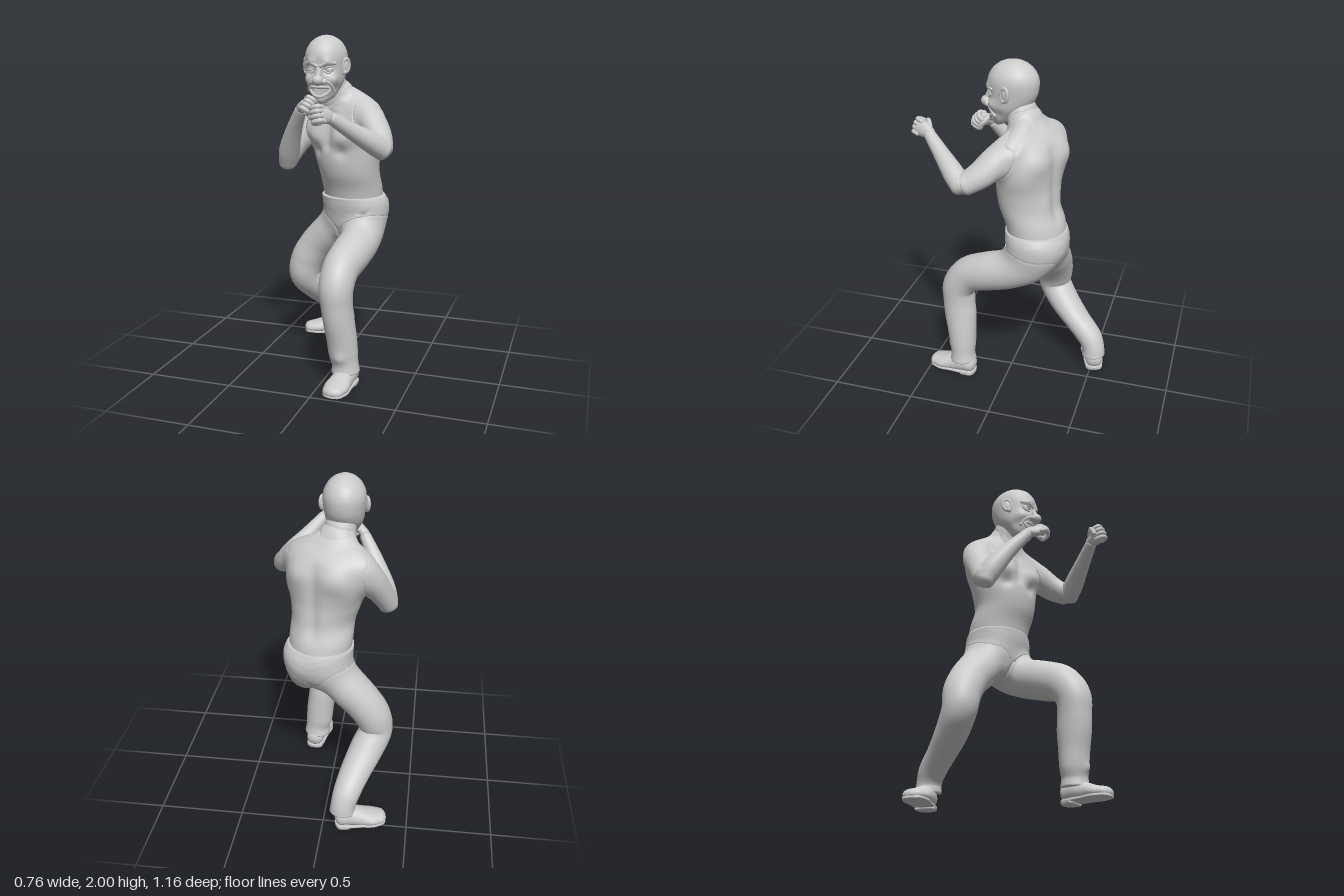
import * as THREE from 'three';

const mat = new THREE.MeshStandardMaterial({ color: 0xcccccc });
const V = (p) => new THREE.Vector3(...p);

function group(parent, name, p) {
  const h = new THREE.Group();
  h.name = name;
  h.position.set(...p);
  parent.add(h);
  return h;
}
function add(parent, name, geo, p = [0, 0, 0]) {
  const m = new THREE.Mesh(geo, mat);
  m.name = name;
  m.position.set(...p);
  parent.add(m);
  return m;
}
function ball(parent, name, p, s) {
  add(parent, name, new THREE.SphereGeometry(1, 24, 16), p).scale.set(...s);
}
function tube(parent, name, pts, r, closed = false) {
  add(parent, name, new THREE.TubeGeometry(new THREE.CatmullRomCurve3(pts.map(V), closed), 40, r, 8, closed));
  if (!closed) for (const p of [pts[0], pts[pts.length - 1]]) ball(parent, name + 'Tip', p, [r, r, r]);
}

// Smooth skin over elliptical sections [x, y, z, sideRadius, depthRadius].
// Bumps [centre, radius, amount] push the skin in or out; clamp limits its height.
function loft(parent, name, secs, o = {}) {
  const { ref = [1, 0, 0], level = false, round = [0.6, 0.6], bumps = [], seg = 40, steps = 7, clamp = [-9, 9] } = o;
  const path = new THREE.CatmullRomCurve3(secs.map((s) => V(s)));
  const size = new THREE.CatmullRomCurve3(secs.map((s) => V([s[3], s[4], 0])), false, 'catmullrom', 0.5);
  const n = (secs.length - 1) * steps, rings = [];
  for (let i = 0; i <= n; i++) {
    const r = size.getPoint(i / n);
    rings.push({ p: path.getPoint(i / n), t: level ? V([0, 1, 0]) : path.getTangent(i / n), a: r.x, b: r.y });
  }
  [rings[0], rings[n]].forEach((e, k) => {
    for (const f of round[k] ? [0.4, 0.8, 1.15, 1.45] : []) {
      const h = (k ? 1 : -1) * round[k] * Math.min(e.a, e.b) * Math.sin(f);
      const ring = { p: e.p.clone().addScaledVector(e.t, h), t: e.t, a: e.a * Math.cos(f), b: e.b * Math.cos(f) };
      if (k) rings.push(ring); else rings.unshift(ring);
    }
  });
  const pos = [], idx = [], last = rings.length - 1, c0 = rings.length * seg;
  for (const { p, t, a, b } of rings) {
    const side = V(ref).addScaledVector(t, -V(ref).dot(t)).normalize(), depth = side.clone().cross(t);
    for (let j = 0; j < seg; j++) {
      const w = (j / seg) * Math.PI * 2;
      pos.push(...p.clone().addScaledVector(side, a * Math.cos(w)).addScaledVector(depth, b * Math.sin(w)));
    }
  }
  pos.push(...rings[0].p, ...rings[last].p);
  for (let j = 0; j < seg; j++) {
    const k = (j + 1) % seg;
    for (let A = j, C = k; A < last * seg; A += seg, C += seg) idx.push(A, A + seg, C, A + seg, C + seg, C);
    idx.push(c0, j, k, c0 + 1, last * seg + k, last * seg + j);
  }
  const g = new THREE.BufferGeometry();
  g.setAttribute('position', new THREE.Float32BufferAttribute(pos, 3));
  g.setIndex(idx);
  g.computeVertexNormals();
  const mesh = add(parent, name, g);
  const skin = points(mesh);
  setPoints(mesh, skin.map(({ v, n: nrm }) => {
    const u = v.clone();
    for (const [c, r, amt] of bumps) u.addScaledVector(nrm, amt * Math.exp(-v.distanceToSquared(V(c)) / (r * r)));
    u.y = Math.min(Math.max(u.y, clamp[0]), clamp[1]);
    return u;
  }));
  return mesh;
}
function points({ geometry: { attributes: { position: P, normal: N } } }) {
  return Array.from({ length: P.count }, (_, i) => ({ v: new THREE.Vector3().fromBufferAttribute(P, i), n: new THREE.Vector3().fromBufferAttribute(N, i) }));
}
function setPoints({ geometry }, list) {
  list.forEach((u, i) => geometry.attributes.position.setXYZ(i, u.x, u.y, u.z));
  geometry.computeVertexNormals();
}

// Swell two overlapping skins where they meet, so the crease becomes a soft fillet of width k
function fillet(meshA, meshB, k) {
  const A = points(meshA), B = points(meshB);
  for (const [mesh, own, other] of [[meshA, A, B], [meshB, B, A]]) {
    setPoints(mesh, own.map(({ v, n }) => {
      let best = 1, q = null;
      for (const c of other) {
        const d = v.distanceToSquared(c.v);
        if (d < best) { best = d; q = c; }
      }
      const d = q ? v.clone().sub(q.v).dot(q.n) : k;
      if (Math.abs(d) >= k || best > 4 * k * k) return v;
      const dir = n.clone().lerp(q.n, 0.5 - (0.5 * d) / k);
      const amount = ((1 - Math.abs(d) / k) ** 2 * k) / 4;
      return v.clone().addScaledVector(dir, amount / Math.max(dir.lengthSq(), 0.45));
    }));
  }
}

// Clenched fist: dir runs along the hand, back points out of its back
function fist(parent, name, p, dir, back, thumb) {
  const h = group(parent, name, p);
  const z = V(dir).normalize(), x = V(back).cross(z).normalize();
  h.quaternion.setFromRotationMatrix(new THREE.Matrix4().makeBasis(x, z.clone().cross(x), z));
  loft(h, 'palm', [[0, 0, -0.02, 0.03, 0.027], [0, 0, 0.02, 0.043, 0.029], [0, -0.003, 0.07, 0.05, 0.03]]);
  for (let i = 0; i < 4; i++) {
    const fx = (i - 1.5) * 0.025, l = 0.1 - Math.abs(i - 1.3) * 0.006;
    tube(h, 'finger', [[fx, 0.012, 0.06], [fx, 0.01, l], [fx, -0.025, l + 0.005], [fx * 0.9, -0.045, l - 0.03], [fx * 0.9, -0.03, 0.05]], 0.0145);
  }
  tube(h, 'thumb', [[thumb * 0.03, -0.01, 0.01], [thumb * 0.052, -0.025, 0.045], [thumb * 0.03, -0.05, 0.07], [0, -0.058, 0.075]], 0.0145);
}

function shoe(parent, name, p, turn) {
  const f = group(parent, name, p);
  f.rotation.y = turn;
  const secs = [[0, 0.065, 0.03, 0.054, 0.055], [0, 0.07, 0.08, 0.06, 0.062], [0, 0.055, 0.15, 0.064, 0.056], [0, 0.042, 0.22, 0.073, 0.042], [0, 0.036, 0.275, 0.06, 0.034]];
  const flat = ([x, , z, a]) => [x, 0.015, z, a, 0.05];
  loft(f, 'upper', secs, { clamp: [0.022, 1], round: [0.6, 1] });
  loft(f, 'sole', secs.map(flat), { clamp: [0.012, 0.025], round: [0.6, 0.65] });
  loft(f, 'heel', secs.slice(0, 2).map(flat), { clamp: [0, 0.024], round: [0.6, 0] });
}

export function createModel() {
  const g = new THREE.Group();
  g.name = 'boxer';

  // Torso, turned so the model's left shoulder leads
  const ref = [0.93, 0, 0.37];
  const at = (s, y, d) => [0.02 + 0.93 * s - 0.37 * d, y, -0.12 + 0.37 * s + 0.93 * d];
  const muscles = [];
  for (const s of [1, -1]) {
    muscles.push([at(s * 0.085, 1.41, 0.15), 0.06, 0.028], [at(s * 0.15, 1.44, 0.12), 0.065, 0.024], [at(s * 0.09, 1.335, 0.16), 0.035, -0.016]);
    muscles.push([at(s * 0.12, 1.5, -0.15), 0.08, 0.022], [at(s * 0.07, 1.22, -0.17), 0.07, 0.01], [at(s * 0.19, 1.43, -0.08), 0.08, 0.01]);
  }
  for (let y = 1.12; y < 1.6; y += 0.04) muscles.push([at(0, y, -0.17), 0.035, -0.009]);
  for (let y = 1.36; y < 1.58; y += 0.03) muscles.push([at(0, y, 0.16), 0.022, -0.011]);
  const torso = loft(g, 'torso', [
    [0.058, 1.0, -0.178, 0.182, 0.165], [0.05, 1.1, -0.157, 0.188, 0.167], [0.042, 1.2, -0.118, 0.189, 0.165],
    [0.03, 1.3, -0.112, 0.209, 0.17], [0.025, 1.4, -0.12, 0.23, 0.166], [0.01, 1.5, -0.125, 0.243, 0.162],
    [0, 1.57, -0.125, 0.23, 0.142], [-0.002, 1.615, -0.115, 0.19, 0.12], [-0.015, 1.65, -0.1, 0.13, 0.1], [-0.03, 1.69, -0.075, 0.09, 0.085],
  ], { ref, level: true, bumps: muscles, seg: 72, steps: 9 });
  const neck = loft(g, 'neck', [[-0.025, 1.6, -0.09, 0.1, 0.095], [-0.04, 1.67, -0.055, 0.08, 0.085], [-0.055, 1.77, -0.025, 0.082, 0.086]], { level: true });
  const trapLeft = loft(g, 'leftTrapezius', [[-0.01, 1.67, -0.085, 0.045, 0.045], [0.09, 1.632, -0.085, 0.05, 0.05], [0.2, 1.565, -0.045, 0.055, 0.055]], { ref: [0, 1, 0] });
  const trapRight = loft(g, 'rightTrapezius', [[-0.05, 1.66, -0.1, 0.045, 0.045], [-0.12, 1.61, -0.145, 0.05, 0.05], [-0.2, 1.55, -0.18, 0.055, 0.055]], { ref: [0, 1, 0] });

  // Trousers
  const seat = loft(g, 'trouserSeat', [
    [0.045, 0.85, -0.18, 0.1, 0.11], [0.06, 0.885, -0.18, 0.155, 0.145], [0.067, 0.94, -0.18, 0.186, 0.168],
    [0.065, 1, -0.173, 0.197, 0.18], [0.052, 1.05, -0.164, 0.192, 0.176],
  ], { ref: [0.98, 0, 0.17], level: true, round: [0.5, 0], seg: 64 });
  const leftLeg = loft(g, 'leftTrouserLeg', [
    [0.12, 0.97, -0.185, 0.115, 0.135], [0.14, 0.875, -0.145, 0.116, 0.135], [0.137, 0.795, -0.03, 0.118, 0.12], [0.12, 0.745, 0.11, 0.116, 0.118],
    [0.1, 0.69, 0.235, 0.106, 0.113], [0.095, 0.6, 0.305, 0.1, 0.105], [0.1, 0.5, 0.31, 0.092, 0.1], [0.11, 0.4, 0.3, 0.09, 0.1],
    [0.123, 0.3, 0.29, 0.088, 0.09], [0.132, 0.2, 0.283, 0.086, 0.082], [0.142, 0.14, 0.28, 0.078, 0.075], [0.145, 0.09, 0.278, 0.083, 0.082],
  ], { round: [0.6, 0.05], bumps: [[[0.13, 0.19, 0.36], 0.03, 0.01], [[0.1, 0.6, 0.21], 0.05, -0.01]] });
  const rightLeg = loft(g, 'rightTrouserLeg', [
    [0.02, 0.98, -0.185, 0.115, 0.135], [-0.012, 0.9, -0.195, 0.115, 0.138], [-0.1, 0.8, -0.21, 0.117, 0.132], [-0.195, 0.7, -0.217, 0.112, 0.118],
    [-0.26, 0.6, -0.213, 0.108, 0.112], [-0.282, 0.5, -0.212, 0.1, 0.1], [-0.235, 0.4, -0.285, 0.1, 0.09], [-0.178, 0.3, -0.39, 0.09, 0.077],
    [-0.137, 0.21, -0.482, 0.08, 0.074], [-0.122, 0.15, -0.508, 0.074, 0.07], [-0.118, 0.1, -0.512, 0.077, 0.072],
  ], { round: [0.6, 0.05], bumps: [[[-0.14, 0.19, -0.42], 0.03, 0.01]] });
  shoe(g, 'leftShoe', [0.162, 0, 0.195], -0.14);
  shoe(g, 'rightShoe', [-0.075, 0, -0.53], -1.3);

  // Arms
  const left = { ref: [0.76, 0.63, 0.18] }, right = { ref: [-0.88, 0.42, 0.22] };
  const leftArm = loft(g, 'leftUpperArm', [
    [0.1, 1.56, -0.09, 0.065, 0.075], [0.168, 1.548, -0.035, 0.077, 0.086], [0.218, 1.512, 0.018, 0.078, 0.088],
    [0.277, 1.447, 0.088, 0.07, 0.08], [0.322, 1.39, 0.175, 0.057, 0.064],
  ], left);
  const leftFore = loft(g, 'leftForearm', [[0.328, 1.38, 0.19, 0.057, 0.058], [0.28, 1.43, 0.25, 0.058, 0.06], [0.2, 1.5, 0.345, 0.046, 0.047], [0.115, 1.58, 0.45, 0.033, 0.034]], left);
  fist(g, 'leftFist', [0.105, 1.59, 0.46], [-0.35, 0.2, 0.85], [0.75, 0.35, 0.5], -1);
  const rightArm = loft(g, 'rightUpperArm', [
    [-0.1, 1.55, -0.16, 0.065, 0.075], [-0.165, 1.54, -0.18, 0.076, 0.08], [-0.215, 1.485, -0.165, 0.079, 0.085],
    [-0.268, 1.385, -0.11, 0.073, 0.08], [-0.32, 1.27, -0.055, 0.057, 0.063],
  ], right);
  const rightFore = loft(g, 'rightForearm', [[-0.325, 1.24, -0.042, 0.053, 0.057], [-0.3, 1.325, -0.005, 0.061, 0.064], [-0.24, 1.455, 0.07, 0.048, 0.049], [-0.165, 1.585, 0.155, 0.033, 0.034]], right);
  fist(g, 'rightFist', [-0.152, 1.603, 0.17], [0.6, 0.3, 0.75], [-0.5, 0.65, 0.55], 1);

  // Soft joins between the body parts
  for (const [a, b, k] of [[seat, leftLeg, 0.08], [seat, rightLeg, 0.08], [leftLeg, rightLeg, 0.05], [torso, neck, 0.05], [torso, trapLeft, 0.05],
    [torso, trapRight, 0.05], [torso, leftArm, 0.06], [torso, rightArm, 0.06], [leftArm, leftFore, 0.02], [rightArm, rightFore, 0.02]]) fillet(a, b, k);

  // Head
  const head = group(g, 'head', [-0.06, 0, 0]);
  const face = [[[0, 1.69, 0.14], 0.03, -0.016], [[0, 1.645, 0.11], 0.03, 0.014], [[0, 1.85, 0.15], 0.022, -0.004]];
  for (const s of [1, -1]) {
    face.push([[s * 0.05, 1.81, 0.135], 0.026, -0.016], [[s * 0.045, 1.85, 0.135], 0.026, 0.012]);
    face.push([[s * 0.068, 1.755, 0.11], 0.032, 0.017], [[s * 0.085, 1.7, 0.07], 0.03, -0.008]);
  }
  const dome = [0, 0.35, 0.7, 1, 1.25, 1.42, 1.53].map((f) => [0, 1.87 + 0.13 * Math.sin(f), 0.006, 0.12 * Math.cos(f), 0.147 * Math.cos(f)]);
  loft(head, 'skull', [
    [0, 1.632, 0.085, 0.03, 0.025], [0, 1.65, 0.065, 0.06, 0.053], [0, 1.69, 0.05, 0.086, 0.085], [0, 1.74, 0.025, 0.105, 0.118], [0, 1.8, 0.01, 0.114, 0.14], ...dome,
  ], { level: true, round: [0.4, 0], bumps: face, seg: 64, steps: 9 });
  tube(head, 'noseBridge', [[0, 1.825, 0.136], [0, 1.79, 0.15], [0, 1.76, 0.163]], 0.018);
  ball(head, 'noseTip', [0, 1.752, 0.165], [0.032, 0.03, 0.032]);
  for (const s of [1, -1]) {
    ball(head, 'nostril', [s * 0.03, 1.745, 0.15], [0.019, 0.018, 0.019]);
    ball(head, 'eye', [s * 0.052, 1.81, 0.117], [0.023, 0.02, 0.02]);
    for (const lid of [1.827, 1.793]) tube(head, 'eyelid', [[s * 0.026, 1.808, 0.134], [s * 0.052, lid, 0.134], [s * 0.078, 1.813, 0.11]], 0.006);
    tube(head, 'brow', [[s * 0.012, 1.832, 0.147], [s * 0.045, 1.848, 0.14], [s * 0.082, 1.846, 0.108]], 0.011);
    tube(head, 'cheekFold', [[s * 0.034, 1.752, 0.143], [s * 0.062, 1.732, 0.126], [s * 0.074, 1.692, 0.095]], 0.009);
    const ear = group(head, 'ear', [s * 0.122, 1.83, 0.024]);
    ear.rotation.set(0, s * 1.05, -s * 0.12);
    const rim = add(ear, 'earRim', new THREE.TorusGeometry(0.026, 0.009, 10, 28));
    rim.scale.y = 1.4;
    ball(ear, 'earBowl', [0, -0.004, -0.003], [0.026, 0.036, 0.012]);
    ball(ear, 'earLobe', [-s * 0.008, -0.038, 0], [0.015, 0.016, 0.012]);
  }

  // Grinning mouth
  const mouth = (x, dy, r) => [x, 1.686 + dy + 5 * x * x, 0.05 + r * Math.sqrt(1 - (x / 0.09) ** 2)];
  const ring = Array.from({ length: 16 }, (_, i) => (i / 8) * Math.PI);
  tube(head, 'lips', ring.map((w) => mouth(0.058 * Math.cos(w), 0.027 * Math.sin(w), 0.087)), 0.009, true);
  for (const dy of [0.012, -0.012]) {
    for (let x = -0.0375; x < 0.04; x += 0.0125) add(head, 'tooth', new THREE.BoxGeometry(0.0105, 0.018, 0.012), mouth(x, dy, 0.08)).rotation.y = x * 9;
  }
  return g;
}
